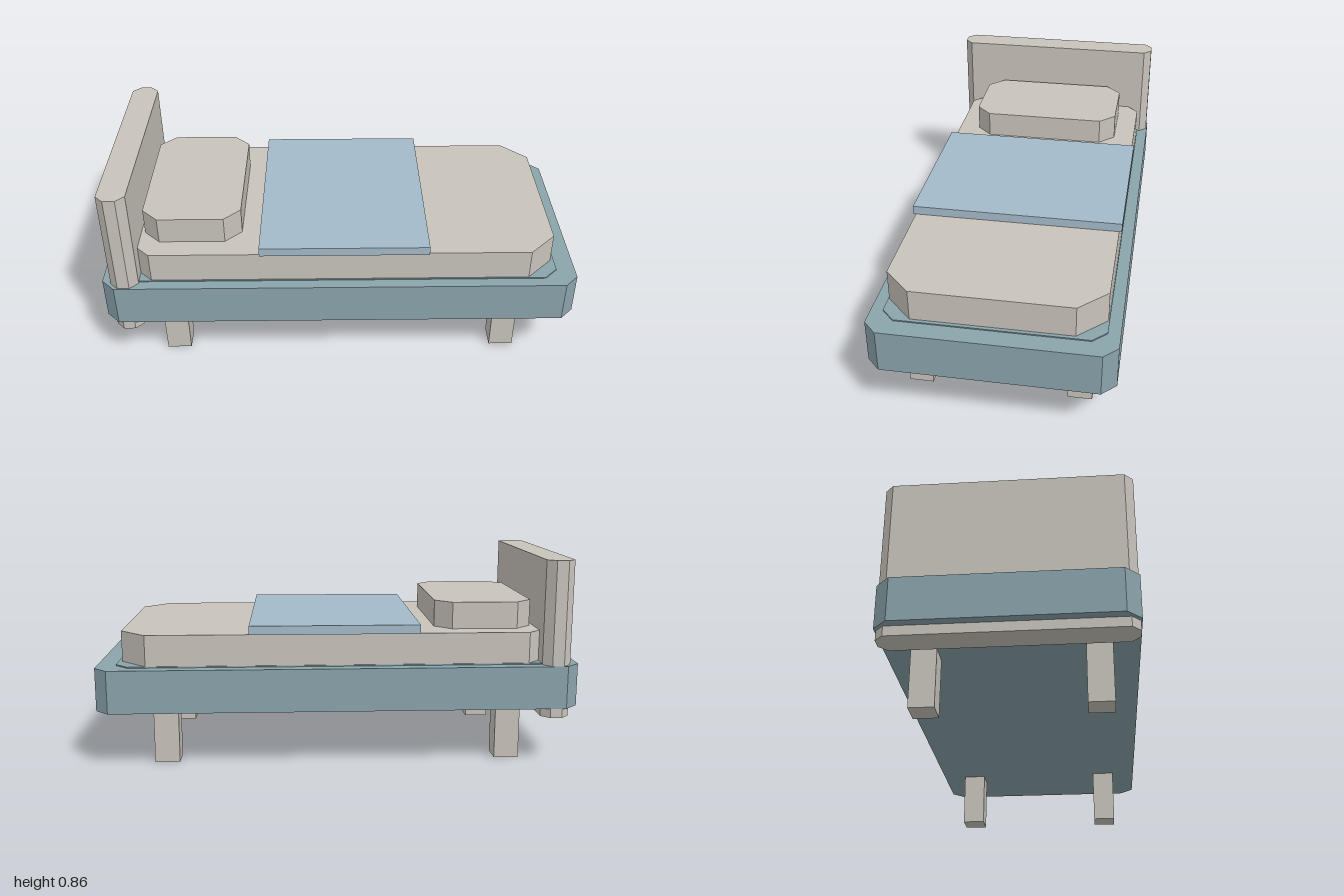
import * as THREE from 'three';

const mat = (name, color) => Object.assign(new THREE.MeshStandardMaterial({ color }), { name });

export function createModel() {
  const linen = mat('warm linen', 0xc8c3bb);
  const teal = mat('dusty teal', 0x8aa4ab);
  const blue = mat('soft blue', 0xa3bac9);

  const bed = new THREE.Group();
  bed.name = 'bed';

  // Upright slab with chamfered plan corners, from x0..x1, y0..y1, +-z
  function slab(name, material, x0, x1, y0, y1, z, c) {
    const shape = new THREE.Shape([
      [x0 + c, -z], [x1 - c, -z], [x1, -z + c], [x1, z - c],
      [x1 - c, z], [x0 + c, z], [x0, z - c], [x0, -z + c],
    ].map(([x, y]) => new THREE.Vector2(x, y)));
    const geo = new THREE.ExtrudeGeometry(shape, { depth: y1 - y0, bevelEnabled: false });
    geo.rotateX(-Math.PI / 2).translate(0, y0, 0);
    const mesh = new THREE.Mesh(geo, material);
    mesh.name = name;
    bed.add(mesh);
  }

  function box(name, material, x0, x1, y0, y1, z0, z1) {
    const mesh = new THREE.Mesh(new THREE.BoxGeometry(x1 - x0, y1 - y0, z1 - z0), material);
    mesh.position.set((x0 + x1) / 2, (y0 + y1) / 2, (z0 + z1) / 2);
    mesh.name = name;
    bed.add(mesh);
  }

  slab('frame', teal, -1, 1, 0.24, 0.42, 0.484, 0.056);
  slab('frameInset', teal, -0.92, 0.92, 0.415, 0.425, 0.435, 0.055);
  slab('mattress', linen, -0.905, 0.905, 0.425, 0.555, 0.431, 0.112);
  slab('headboard', linen, -0.962, -0.845, 0.2, 0.857, 0.479, 0.034);
  slab('pillow', linen, -0.828, -0.416, 0.555, 0.668, 0.337, 0.068);
  box('blanket', blue, -0.336, 0.368, 0.555, 0.592, -0.442, 0.442);

  // Four square legs, mirrored front/back and left/right
  for (const sx of [-1, 1]) {
    for (const sz of [-1, 1]) {
      box('leg', linen, sx * 0.722 - 0.052, sx * 0.722 + 0.052, 0, 0.245, sz * 0.33 - 0.05, sz * 0.33 + 0.05);
    }
  }
  return bed;
}
